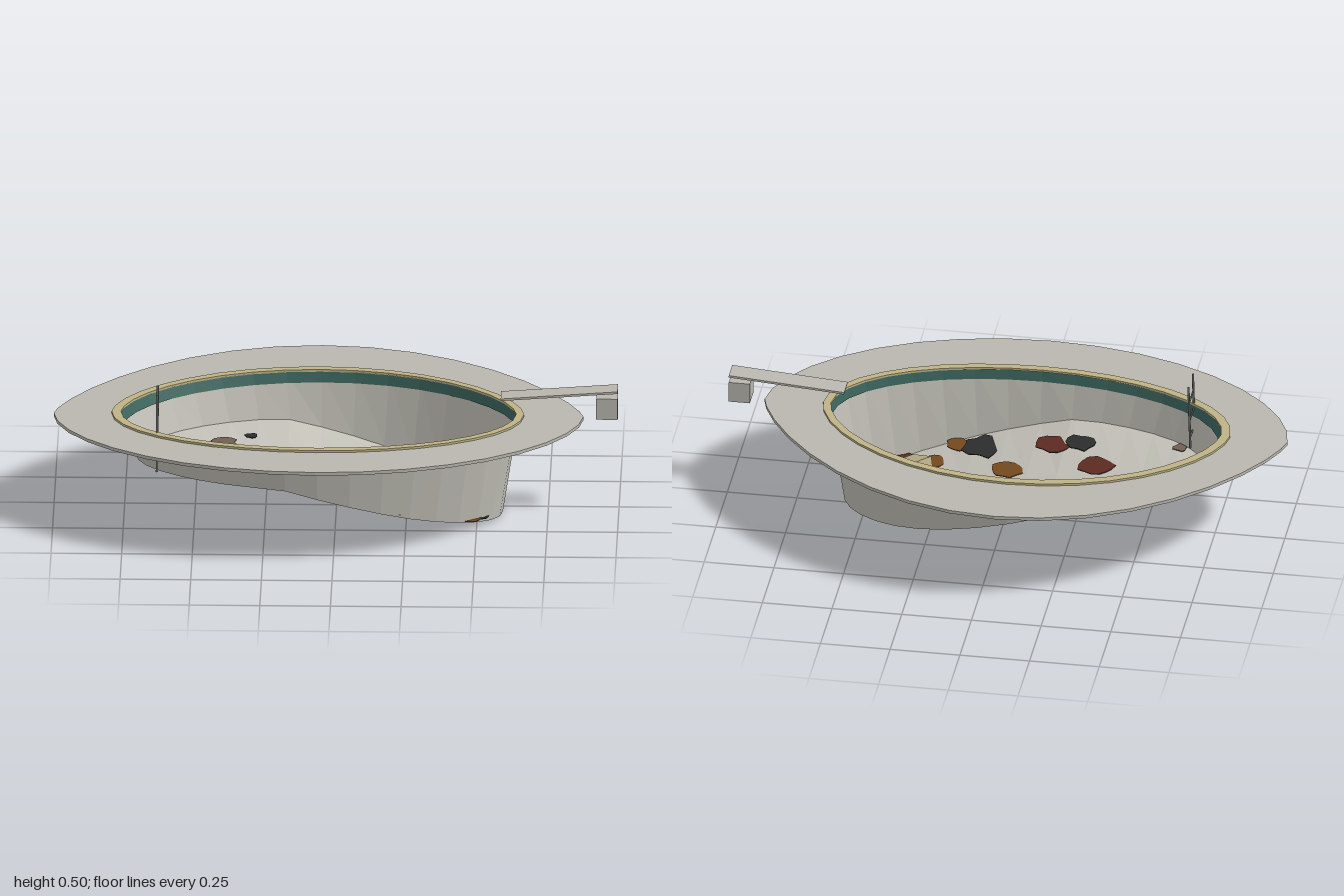
import * as THREE from 'three';

const N = 36;
const mat = (name, color, side = THREE.FrontSide) => {
  const m = new THREE.MeshStandardMaterial({ color, side });
  m.name = name;
  return m;
};

// Egg-shaped ring of [x, z] points; the back and front halves have their own depth and taper
function oval(x0, x1, back, front, pBack, pFront) {
  const cx = (x0 + x1) / 2, ax = (x1 - x0) / 2, zc = 0.055;
  return Array.from({ length: N }, (_, i) => {
    const t = (i / N) * Math.PI * 2, s = Math.sin(t), m = Math.abs(s);
    const z = s > 0 ? zc + (front - zc) * m ** pFront : zc - (zc - back) * m ** pBack;
    return [cx + ax * Math.cos(t), z];
  });
}

// Piecewise linear height along x
function heightAt(points, x) {
  if (x <= points[0][0]) return points[0][1];
  for (let i = 1; i < points.length; i++) {
    const [xa, ya] = points[i - 1], [xb, yb] = points[i];
    if (x <= xb) return ya + ((yb - ya) * (x - xa)) / (xb - xa);
  }
  return points[points.length - 1][1];
}
const edgeY = x => heightAt([[-0.6, 0.21], [-0.19, 0.2], [0.3, 0.07], [0.59, 0.004]], x);
const centreY = x => heightAt([[-0.65, 0.21], [-0.19, 0.155], [0.3, 0.06], [0.59, 0]], x);

// Flat-faced skin between neighbouring rows of [x, y, z] points
function loft(rows, closed) {
  const pos = [];
  for (let r = 0; r + 1 < rows.length; r++) {
    const a = rows[r], b = rows[r + 1], n = a.length;
    for (let i = 0; i < (closed ? n : n - 1); i++) {
      const j = (i + 1) % n;
      pos.push(...a[i], ...b[i], ...b[j], ...a[i], ...b[j], ...a[j]);
    }
  }
  const g = new THREE.BufferGeometry();
  g.setAttribute('position', new THREE.Float32BufferAttribute(pos, 3));
  g.computeVertexNormals();
  return g;
}

// Horizontal plate from an outline, with an optional hole, hanging down from y = top
function plate(outline, hole, top, depth) {
  const toV = p => new THREE.Vector2(p[0], p[1]);
  const shape = new THREE.Shape(outline.map(toV));
  if (hole) shape.holes.push(new THREE.Path(hole.map(toV)));
  const g = new THREE.ExtrudeGeometry(shape, { depth, bevelEnabled: false });
  return g.rotateX(Math.PI / 2).translate(0, top, 0);
}

export function createModel() {
  const root = new THREE.Group();
  root.name = 'emptyPool';
  const concrete = mat('concrete', 0xb9b7ae);
  const plaster = mat('plaster', 0xc2c0b7, THREE.DoubleSide);
  const coping = mat('copingStone', 0xbfb386);
  const tile = mat('tealTile', 0x3c665f, THREE.DoubleSide);
  const metal = mat('metal', 0x77787a);
  const litter = {
    red: mat('redLeaf', 0x5c2a22),
    amber: mat('amberLeaf', 0x74491f),
    black: mat('blackLeaf', 0x2b2c2c),
    taupe: mat('taupeLeaf', 0x6f6052),
  };
  const beige = mat('beige', 0xb9ae88);
  const add = (name, geometry, material, parent = root) => {
    const m = new THREE.Mesh(geometry, material);
    m.name = name;
    parent.add(m);
    return m;
  };

  // Deck and raised coping
  const rim = oval(-0.77, 0.645, -0.375, 0.41, 1.2, 1);
  add('deck', plate(oval(-1, 0.875, -0.63, 0.625, 1.5, 1.15), rim, 0.364, 0.012), concrete);
  add('coping', plate(oval(-0.795, 0.665, -0.4, 0.43, 1.2, 1),
    oval(-0.762, 0.637, -0.37, 0.402, 1.2, 1), 0.372, 0.008), coping);

  // Tapering wall down to the sloping floor
  const foot = oval(-0.71, 0.59, -0.34, 0.38, 1.2, 1);
  const wallTop = rim.map(([x, z]) => [x, 0.363, z]);
  const wallFoot = foot.map(([x, z]) => [x, edgeY(x), z]);
  add('poolWall', loft([wallTop, wallFoot], true), plaster);

  // Waterline tiles just inside the wall
  const band = (y, k) => wallTop.map((a, i) => {
    const b = wallFoot[i], t = (a[1] - y) / (a[1] - b[1]);
    const x = a[0] + (b[0] - a[0]) * t, z = a[2] + (b[2] - a[2]) * t;
    return [-0.0625 + (x + 0.0625) * k, y, 0.055 + (z - 0.055) * k];
  });
  add('waterlineTiles', loft([band(0.363, 0.992), band(0.325, 0.992)], true), tile);

  // Floor: back edge, lower middle line, front edge
  const half = N / 2;
  const front = wallFoot.slice(0, half + 1);
  const back = front.map((_, i) => wallFoot[(N - i) % N]);
  const middle = front.map(([x, y], i) => [x, i % half ? centreY(x) : y, 0.055]);
  add('poolFloor', loft([front, middle, back], false), plaster);

  // Diving board on its block
  const board = new THREE.Group();
  board.name = 'divingBoard';
  root.add(board);
  add('boardBlock', new THREE.BoxGeometry(0.076, 0.078, 0.076).translate(0.959, 0.405, 0.05), concrete, board);
  const plank = add('boardPlank', new THREE.BoxGeometry(0.415, 0.008, 0.076), concrete, board);
  plank.position.set(0.79, 0.453, 0.05);
  plank.rotation.z = Math.atan2(0.03, 0.41);

  // Leaning ladder
  const ladder = new THREE.Group();
  ladder.name = 'ladder';
  root.add(ladder);
  const bar = (name, a, b, r) => add(name, new THREE.TubeGeometry(
    new THREE.LineCurve3(new THREE.Vector3(...a), new THREE.Vector3(...b)), 1, r, 8), metal, ladder);
  for (const z of [0.146, 0.242]) bar('ladderRail', [-0.63, 0.505, z], [-0.63, 0.23, z + 0.042], 0.004);
  for (const y of [0.428, 0.35, 0.275]) {
    const lean = (0.505 - y) * 0.153;
    bar('ladderRung', [-0.63, y, 0.146 + lean], [-0.63, y, 0.242 + lean], 0.003);
  }

  // Scattered leaves: colour, x, z, radius
  let seed = 7;
  const rand = () => (seed = (seed * 16807) % 2147483647) / 2147483647;
  const floorY = (x, z) => {
    const c = Math.min(1, Math.abs(x + 0.06) / 0.65);
    const width = Math.sqrt(1 - c * c) * (z > 0.055 ? 0.325 : 0.395) + 0.001;
    const s = Math.min(1, Math.abs(z - 0.055) / width);
    return centreY(x) + (edgeY(x) - centreY(x)) * s;
  };
  const leaves = [
    ['taupe', -0.4, -0.1, 0.048], ['black', -0.305, -0.165, 0.023], ['red', -0.31, 0.085, 0.066],
    ['black', -0.23, 0.23, 0.058], ['red', -0.135, 0.23, 0.066], ['amber', 0.015, 0.1, 0.058],
    ['red', 0.03, 0.02, 0.03], ['black', 0.035, -0.175, 0.035], ['red', 0.095, -0.06, 0.035],
    ['red', 0.17, -0.02, 0.05], ['black', 0.125, 0.27, 0.08], ['amber', 0.225, 0.3, 0.043],
    ['amber', 0.295, 0.21, 0.048], ['red', 0.39, 0.235, 0.05], ['black', 0.36, 0.05, 0.048],
    ['amber', 0.26, 0.085, 0.03], ['black', 0.275, -0.05, 0.015], ['amber', 0.29, -0.125, 0.022],
    ['taupe', 0.355, -0.125, 0.055], ['taupe', 0.425, -0.065, 0.05], ['red', 0.4, -0.09, 0.045],
    ['amber', 0.465, 0.205, 0.05], ['black', 0.49, 0.18, 0.05], ['red', 0.375, -0.005, 0.022],
    ['taupe', -0.59, 0.21, 0.027],
  ];
  leaves.forEach(([color, x, z, r], k) => {
    const n = 13;
    const outline = Array.from({ length: n }, (_, i) => {
      const t = (i / n) * Math.PI * 2, d = r * (0.75 + 0.35 * rand());
      return [x + d * Math.cos(t), z + d * Math.sin(t)];
    });
    const y = floorY(x, z) + 0.008 + (k % 3) * 0.002;
    add(color + 'Leaf', plate(outline, null, y, 0.003), litter[color]);
  });

  // Discarded box lying at the deep end
  const box = add('discardedBox', new THREE.BoxGeometry(0.09, 0.045, 0.075), beige);
  box.position.set(0.35, 0.09, 0.155);
  box.rotation.set(0.15, -0.6, -0.2);
  return root;
}
